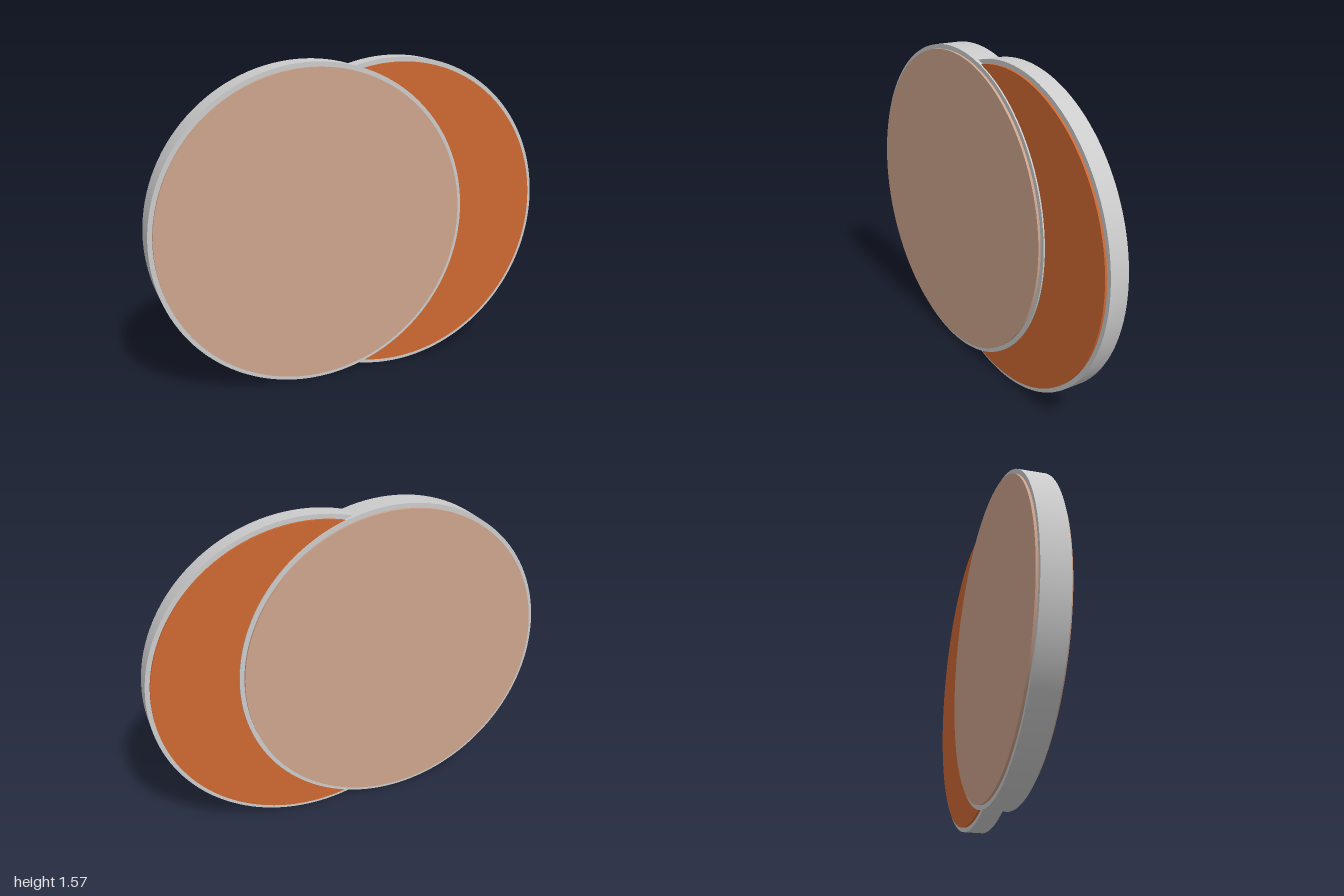
import * as THREE from 'three';

const RADIUS = 0.785;
const FACE_RADIUS = 0.763;

// Upright disc with its axis along z
function disc(name, radius, depth, material) {
  const geometry = new THREE.CylinderGeometry(radius, radius, depth, 128);
  geometry.rotateX(Math.PI / 2);
  const mesh = new THREE.Mesh(geometry, material);
  mesh.name = name;
  return mesh;
}

// Grey body with a thin raised coloured plate on front and back
function coin(name, x, bodyDepth, plateDepth, color) {
  const group = new THREE.Group();
  group.name = name;
  group.position.set(x, RADIUS, 0);
  const grey = new THREE.MeshStandardMaterial({ color: 0xcccccc });
  const tint = new THREE.MeshStandardMaterial({ color });
  group.add(disc('body', RADIUS, bodyDepth, grey));
  for (const side of [1, -1]) {
    const plate = disc(side > 0 ? 'frontPlate' : 'backPlate', FACE_RADIUS, plateDepth, tint);
    plate.position.z = side * (bodyDepth + plateDepth) / 2;
    group.add(plate);
  }
  return group;
}

export function createModel() {
  const model = new THREE.Group();
  model.name = 'overlappingDiscs';
  // Thick disc on the right overlaps the thinner one on the left
  model.add(coin('thickDisc', -0.215, 0.128, 0.012, 0xcea48d));
  model.add(coin('thinDisc', 0.215, 0.092, 0.011, 0xce6833));
  return model;
}
